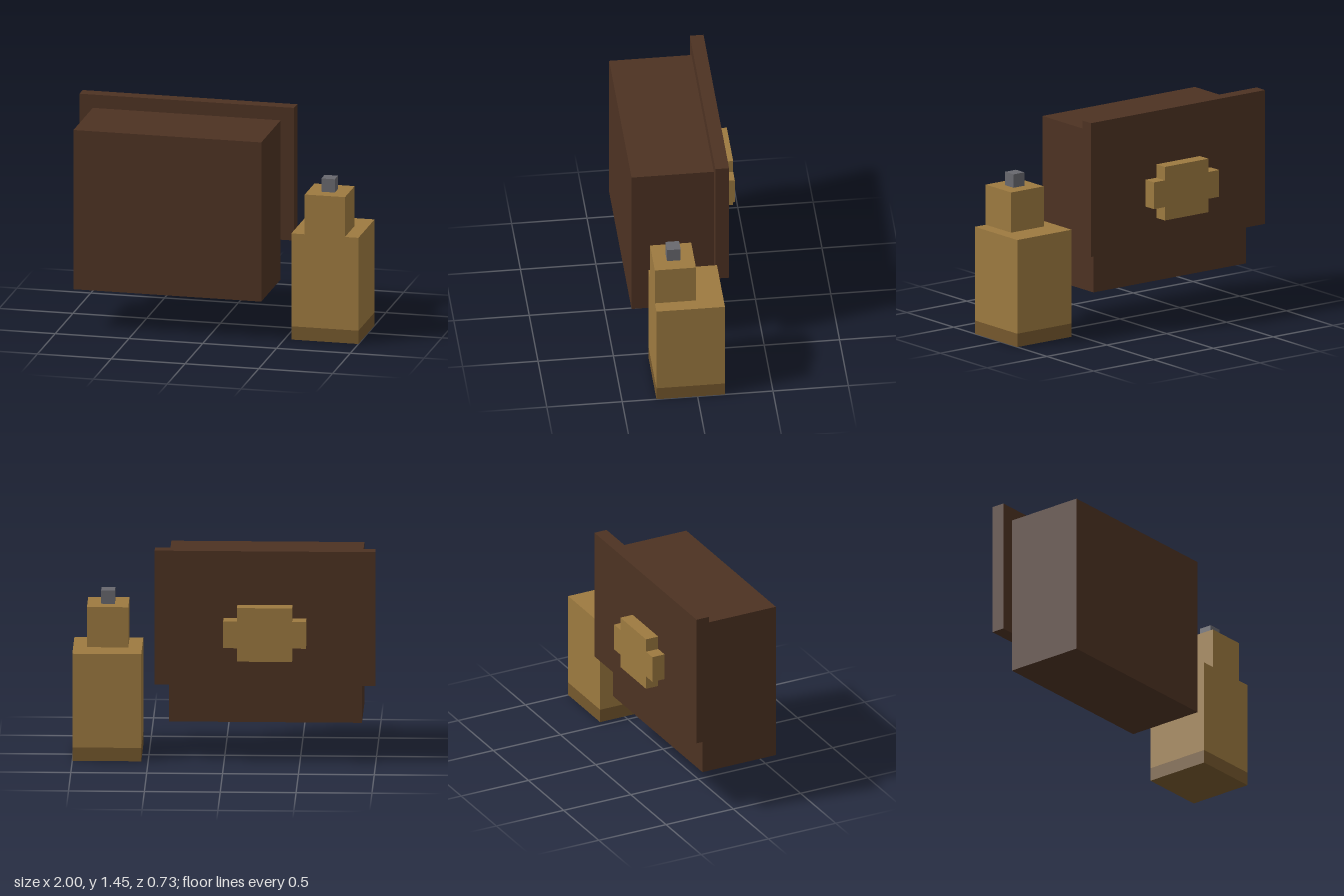
import * as THREE from 'three';

const U = 1 / 11; // one grid cell; the model is 22 cells wide

const makeMaterial = (name, color) => {
  const m = new THREE.MeshStandardMaterial({ color });
  m.name = name;
  return m;
};

// Box from its low corner to its high corner, in grid cells
function block(name, material, [x0, y0, z0], [x1, y1, z1]) {
  const geometry = new THREE.BoxGeometry((x1 - x0) * U, (y1 - y0) * U, (z1 - z0) * U);
  const mesh = new THREE.Mesh(geometry, material);
  mesh.position.set((x0 + x1) * U / 2, (y0 + y1) * U / 2, (z0 + z1) * U / 2);
  mesh.name = name;
  return mesh;
}

export function createModel() {
  const leather = makeMaterial('dark brown leather', 0x4d3222);
  const brass = makeMaterial('tan', 0x9d7a40);
  const darkBrass = makeMaterial('dark tan', 0x75582d);
  const grey = makeMaterial('grey', 0x68686e);

  // Case with an overhanging back panel
  const chest = new THREE.Group();
  chest.name = 'case';
  chest.add(
    block('caseBody', leather, [-10, 3, -2], [4, 15, 4]),
    block('backPanel', leather, [-11, 6, -3], [5, 16, -2])
  );

  // Cross-shaped plate on the back panel
  const outline = [
    [-3, -1], [-2, -1], [-2, -2], [2, -2], [2, -1], [3, -1],
    [3, 1], [2, 1], [2, 2], [-2, 2], [-2, 1], [-3, 1],
  ].map(([x, y]) => new THREE.Vector2(x * U, y * U));
  const emblem = new THREE.Mesh(
    new THREE.ExtrudeGeometry(new THREE.Shape(outline), { depth: U, bevelEnabled: false }),
    brass
  );
  emblem.name = 'backPlate';
  emblem.position.set(-3 * U, 10 * U, -4 * U);
  chest.add(emblem);

  // Stepped block standing beside the case
  const bottle = new THREE.Group();
  bottle.name = 'sidePost';
  bottle.add(
    block('postBase', darkBrass, [6, 0, -2], [11, 1, 3]),
    block('postBody', brass, [6, 1, -2], [11, 8, 3]),
    block('postNeck', brass, [7, 8, 0], [10, 11, 3]),
    block('postTip', grey, [8, 11, 1], [9, 12, 2])
  );

  const model = new THREE.Group();
  model.name = 'model';
  model.add(chest, bottle);
  return model;
}
